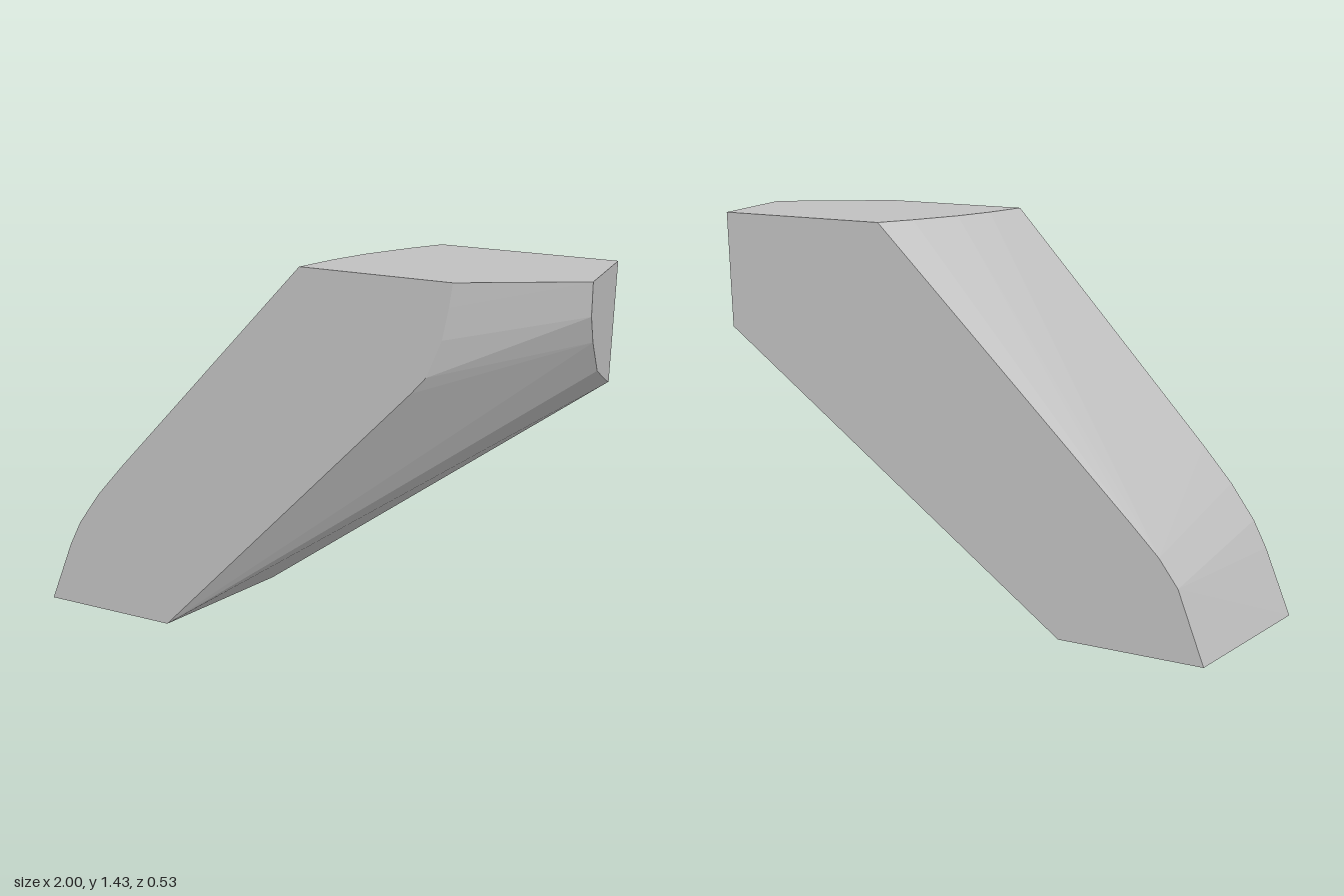
import * as THREE from 'three';
import { ConvexGeometry } from 'three/addons/geometries/ConvexGeometry.js';

const H = 1.43; // height
const D = 0.265; // half depth

// Outline of the front face, [x, y]
const front = [
  [-1, 0], [-0.9, 0.25], [-0.85, 0.35], [-0.76, 0.48], [-0.65, 0.61], [0.08, H],
  [0.61, H], [0.6, 1.35], [0.58, 1.24], [0.53, 1.11], [0.48, 1.05], [-0.48, 0],
];
// Outline of the back face, [x, y]
const back = [
  [-0.83, 0], [-0.73, 0.27], [-0.66, 0.37], [-0.56, 0.475], [0.38, H],
  [1, H], [1, 1.01], [-0.3, 0],
];
// Rounded edge of the end face, [z, y]
const end = [[0.065, H], [0.055, 1.315], [0.01, 1.22], [-0.08, 1.1], [-0.225, 1.025]];
// Curved rear edge of the top face, [x, z]
const top = [[0.135, 0.12], [0.2, -0.01], [0.3, -0.16]];

export function createModel() {
  const group = new THREE.Group();
  group.name = 'facetedBlock';

  const stone = new THREE.MeshStandardMaterial({ color: 0xc0c0c0 });
  stone.name = 'light grey';

  // Solid spanning all four edge outlines
  const points = [
    ...front.map(([x, y]) => new THREE.Vector3(x, y, D)),
    ...back.map(([x, y]) => new THREE.Vector3(x, y, -D)),
    ...end.map(([z, y]) => new THREE.Vector3(1, y, z)),
    ...top.map(([x, z]) => new THREE.Vector3(x, H, z)),
  ];
  const body = new THREE.Mesh(new ConvexGeometry(points), stone);
  body.name = 'leaningBody';
  group.add(body);
  return group;
}
